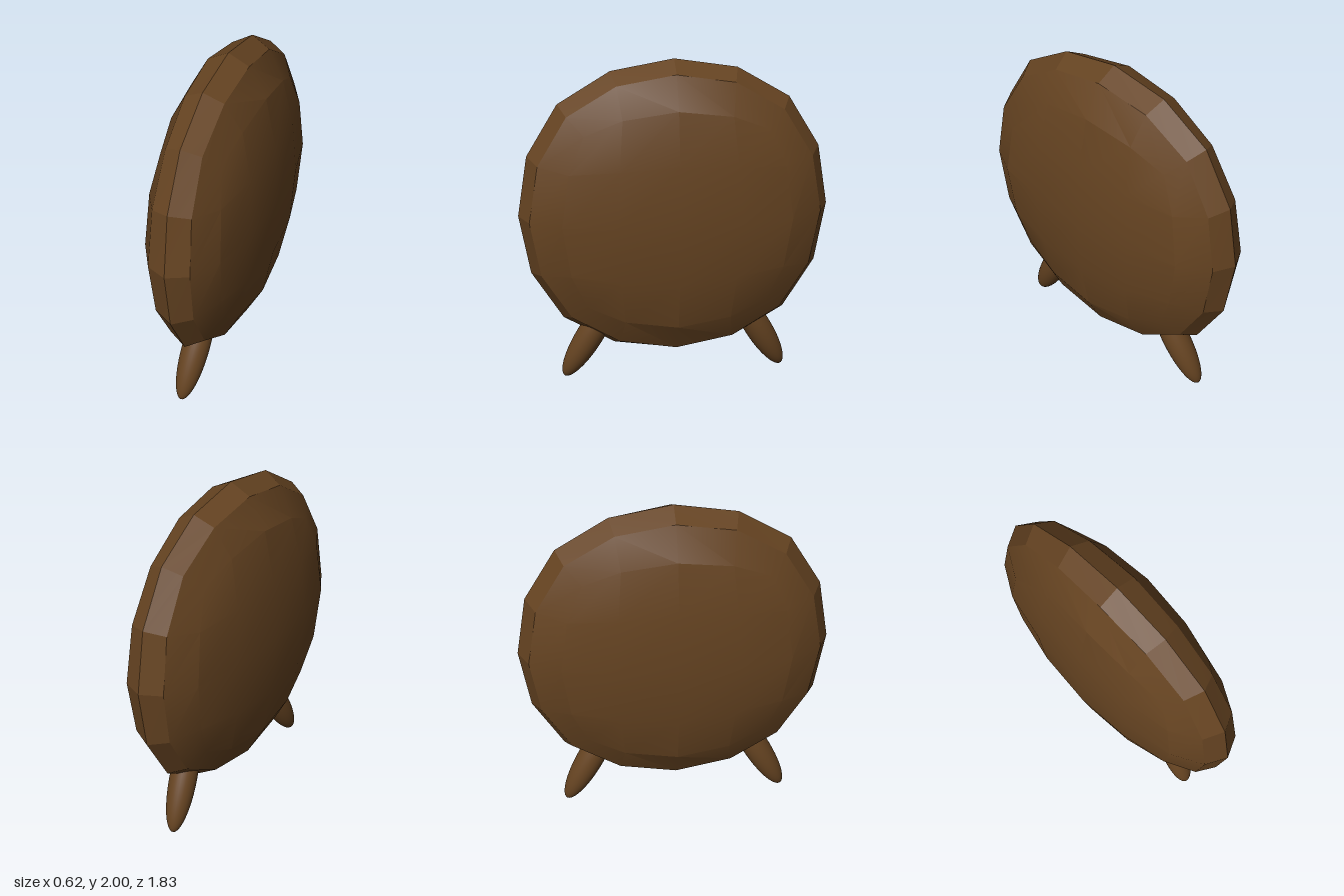
import * as THREE from 'three';
import { toCreasedNormals } from 'three/addons/utils/BufferGeometryUtils.js';

// Twice-subdivided cube, rounded: [value for |c| = 1, value for |c| = 0.5], keyed by squared length
const ROUNDING = {
  1: [1, 0],
  1.25: [0.933, 0.399],
  1.5: [0.87, 0.371],
  2: [0.732, 0],
  2.25: [0.682, 0.344],
  3: [0.58, 0],
};

function roundedCube() {
  const geometry = new THREE.BoxGeometry(2, 2, 2, 4, 4, 4);
  const pos = geometry.attributes.position;
  const v = new THREE.Vector3();
  for (let i = 0; i < pos.count; i++) {
    v.fromBufferAttribute(pos, i);
    const [outer, inner] = ROUNDING[v.lengthSq()];
    const ease = (c) => Math.sign(c) * (Math.abs(c) === 1 ? outer : inner);
    pos.setXYZ(i, ease(v.x), ease(v.y), ease(v.z));
  }
  return geometry;
}

export function createModel() {
  const group = new THREE.Group();
  const brown = new THREE.MeshStandardMaterial({ color: 0x654321 });

  // Thin, faceted disc-like body with softly shaded broad sides
  const bodyGeometry = roundedCube().scale(0.31, 0.915, 0.915);
  const body = new THREE.Mesh(toCreasedNormals(bodyGeometry, THREE.MathUtils.degToRad(17)), brown);
  body.name = 'body';
  body.position.y = 1.085;
  group.add(body);

  // Smooth ellipsoid legs, splayed forwards and backwards
  const legGeometry = new THREE.SphereGeometry(1, 32, 24).scale(0.082, 0.325, 0.082);
  for (const side of [1, -1]) {
    const leg = new THREE.Mesh(legGeometry, brown);
    leg.name = side > 0 ? 'frontLeg' : 'backLeg';
    leg.position.set(0, 0.286, side * 0.515);
    const axis = new THREE.Vector3(0.03, 0.283, -side * 0.16).normalize();
    leg.quaternion.setFromUnitVectors(new THREE.Vector3(0, 1, 0), axis);
    group.add(leg);
  }

  return group;
}
